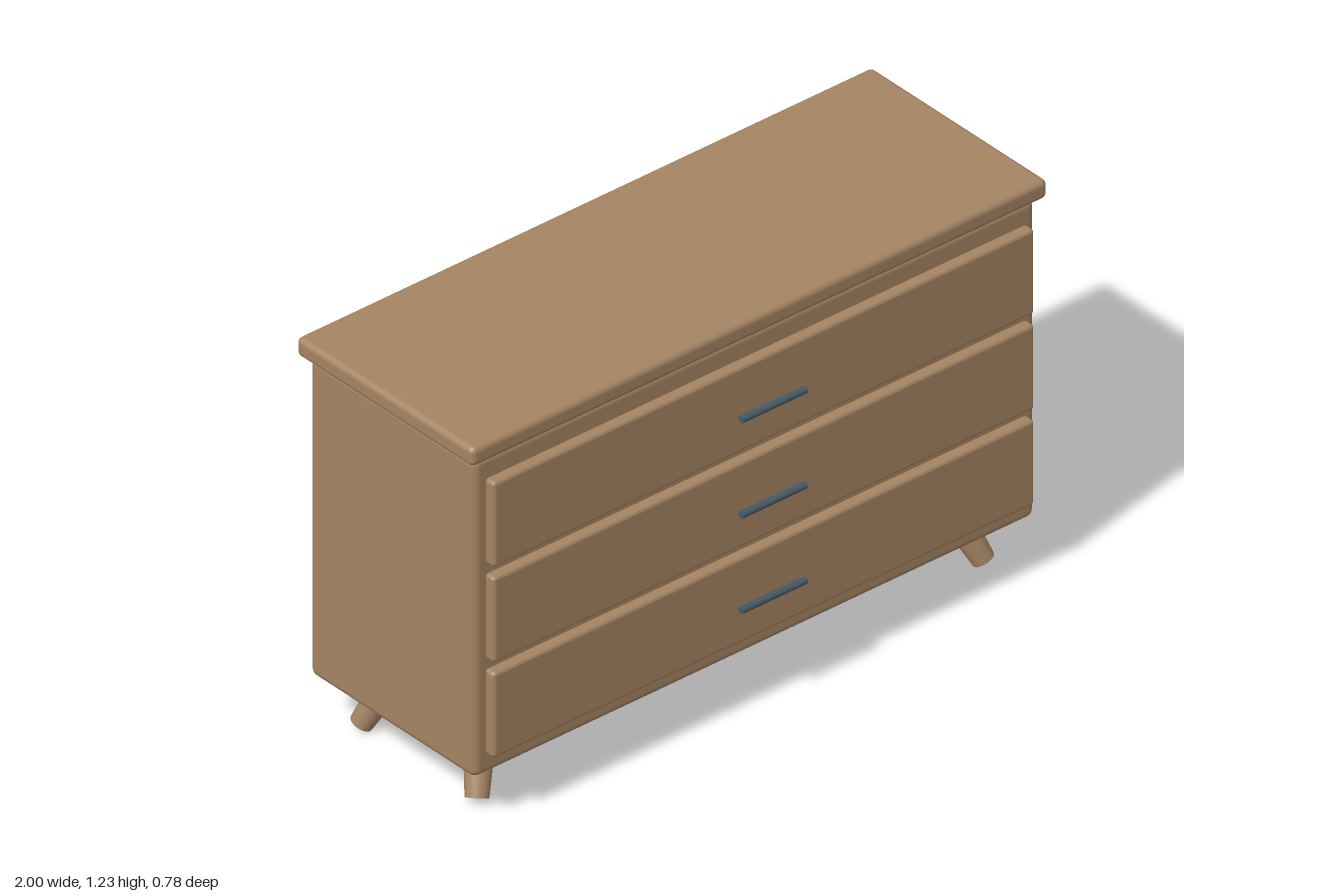
import * as THREE from 'three';
import { RoundedBoxGeometry } from 'three/addons/geometries/RoundedBoxGeometry.js';

export function createModel() {
  const group = new THREE.Group();
  const wood = new THREE.MeshStandardMaterial({ color: 0xa58463 });
  wood.name = 'wood';
  const metal = new THREE.MeshStandardMaterial({ color: 0x455a64 });
  metal.name = 'dark metal';

  const add = (name, geometry, material) => {
    const mesh = new THREE.Mesh(geometry, material);
    mesh.name = name;
    group.add(mesh);
    return mesh;
  };

  // Rounded box given by its extents on each axis
  const slab = (name, [x0, x1], [y0, y1], [z0, z1], radius) => {
    const geometry = new RoundedBoxGeometry(x1 - x0, y1 - y0, z1 - z0, 4, radius);
    add(name, geometry, wood).position.set((x0 + x1) / 2, (y0 + y1) / 2, (z0 + z1) / 2);
  };

  // Cabinet and overhanging top
  slab('cabinet', [-0.975, 0.975], [0.16, 1.167], [-0.365, 0.305], 0.024);
  slab('top', [-1, 1], [1.167, 1.227], [-0.39, 0.328], 0.018);

  // Three drawer fronts, each with a bar handle
  for (let i = 0; i < 3; i++) {
    const y = 0.366 + i * 0.3015;
    slab('drawerFront', [-0.94, 0.94], [y - 0.135, y + 0.135], [0.305, 0.344], 0.012);
    const handle = add('handle', new THREE.CylinderGeometry(0.0105, 0.0105, 0.224, 16), metal);
    handle.rotation.z = Math.PI / 2;
    handle.position.set(0, y, 0.38);
  }

  // Four tapered legs splayed outwards, mirrored about the cabinet centre
  const cabinetZ = -0.03;
  for (const sx of [-1, 1]) {
    for (const sz of [-1, 1]) {
      const foot = new THREE.Vector3(sx * 0.879, 0.016, cabinetZ + sz * 0.235);
      const head = new THREE.Vector3(sx * 0.82, 0.164, cabinetZ + sz * 0.177);
      const axis = head.clone().sub(foot);
      const leg = add(sz > 0 ? 'frontLeg' : 'backLeg',
        new THREE.CylinderGeometry(0.045, 0.033, axis.length(), 24), wood);
      leg.position.copy(foot).add(head).multiplyScalar(0.5);
      leg.quaternion.setFromUnitVectors(new THREE.Vector3(0, 1, 0), axis.normalize());
    }
  }

  return group;
}
